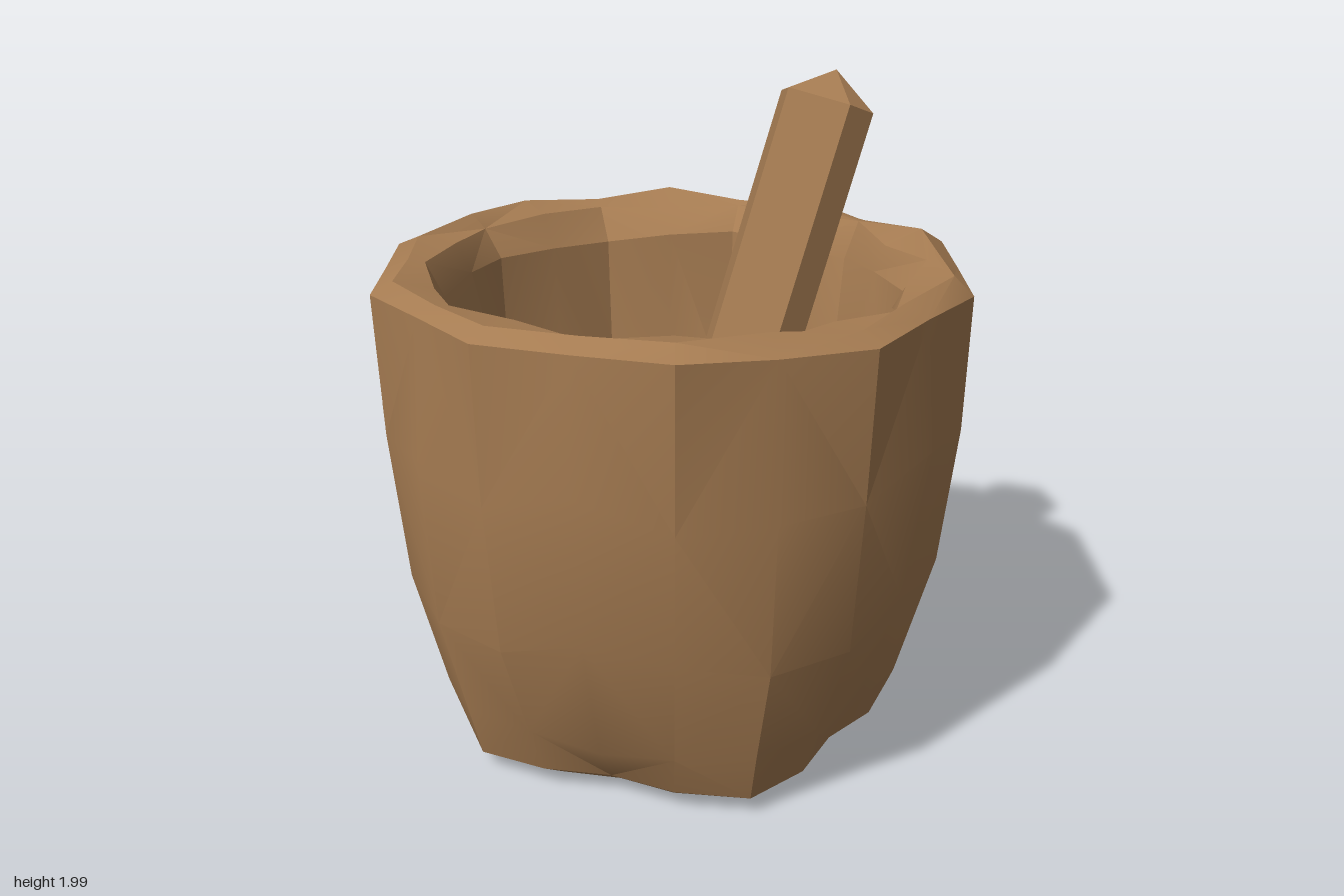
import * as THREE from 'three';
import { toCreasedNormals } from 'three/addons/utils/BufferGeometryUtils.js';

const DEG = Math.PI / 180;

// small repeatable random in -1..1
let seed = 7;
const jitter = (amount) => {
  seed = (seed * 16807) % 2147483647;
  return (seed / 2147483647 * 2 - 1) * amount;
};

// radius of a regular polygon with a corner at `phase` degrees
const polygon = (R, n, phase) => (deg) => {
  const step = 360 / n;
  const d = ((((deg - phase) % step) + step) % step) - step / 2;
  return R * Math.cos(Math.PI / n) / Math.cos(d * DEG);
};

// skin closed rings, each { y, r(deg), jr, jy }, from the underside upwards
function loft(rings, angles, crease) {
  const pos = [], index = [], n = angles.length;
  rings.forEach(({ y, r, jr = 0, jy = 0 }) => angles.forEach((deg) => {
    const rad = r(deg) + jitter(jr);
    pos.push(rad * Math.cos(deg * DEG), y + jitter(jy), rad * Math.sin(deg * DEG));
  }));
  for (let i = 0; i < rings.length - 1; i++) {
    for (let j = 0; j < n; j++) {
      const k = (j + 1) % n;
      const a = i * n + j, b = i * n + k, c = a + n, d = b + n;
      if (rings[i].pole) index.push(a, c, d);
      else if (rings[i + 1].pole) index.push(a, c, b);
      else if ((i + j) % 2) index.push(a, c, b, b, c, d);
      else index.push(a, c, d, a, d, b);
    }
  }
  const geo = new THREE.BufferGeometry();
  geo.setAttribute('position', new THREE.Float32BufferAttribute(pos, 3));
  geo.setIndex(index);
  return toCreasedNormals(geo, crease);
}

export function createModel() {
  seed = 7;
  const wood = new THREE.MeshStandardMaterial({ color: 0xa67c52 });
  wood.name = 'warm brown wood';
  const group = new THREE.Group();
  group.name = 'mortarAndPestle';

  const pole = (y) => ({ y, r: () => 0, pole: true });
  // rounded pentagon for the lower body, with a corner towards -x
  const soft = (mid, amp) => (deg) => mid + amp * Math.cos(5 * (deg - 36) * DEG);

  // bowl: base, swelling wall, thick rim, inner wall, five-sided floor
  const bowlRings = [
    pole(0.01),
    { y: 0.015, r: soft(0.57, 0.05), jy: 0.008 },
    { y: 0.065, r: soft(0.66, 0.06), jy: 0.01 },
    { y: 0.22, r: soft(0.73, 0.04), jr: 0.01, jy: 0.02 },
    { y: 0.58, r: soft(0.83, 0.015), jr: 0.012, jy: 0.05 },
    { y: 1.05, r: () => 0.885, jr: 0.008, jy: 0.05 },
    { y: 1.475, r: polygon(0.9, 10, 18), jy: 0.01 },
    { y: 1.513, r: polygon(0.83, 10, 18), jr: 0.012, jy: 0.016 },
    { y: 1.49, r: polygon(0.75, 10, 0), jr: 0.015, jy: 0.015 },
    { y: 1.4, r: polygon(0.69, 10, 0), jr: 0.015, jy: 0.02 },
    { y: 0.85, r: polygon(0.64, 10, 0), jr: 0.015, jy: 0.04 },
    { y: 0.22, r: polygon(0.58, 5, 0) },
    pole(0.22),
  ];
  const bowlAngles = Array.from({ length: 20 }, (_, i) => i * 18);
  const bowl = new THREE.Mesh(loft(bowlRings, bowlAngles, 0.42), wood);
  bowl.name = 'mortarBowl';
  group.add(bowl);

  // pestle: six-sided stick with blunt pointed ends, leaning towards +x
  const stick = () => 0.168;
  const pestleRings = [
    pole(-0.51), { y: -0.408, r: stick }, { y: 0.408, r: stick }, pole(0.51),
  ];
  const pestle = new THREE.Mesh(loft(pestleRings, [0, 72, 108, 180, 252, 288], 0.5), wood);
  pestle.name = 'pestle';
  pestle.position.set(0.4525, 1.525, 0);
  pestle.rotation.z = -21 * DEG;
  group.add(pestle);

  return group;
}
